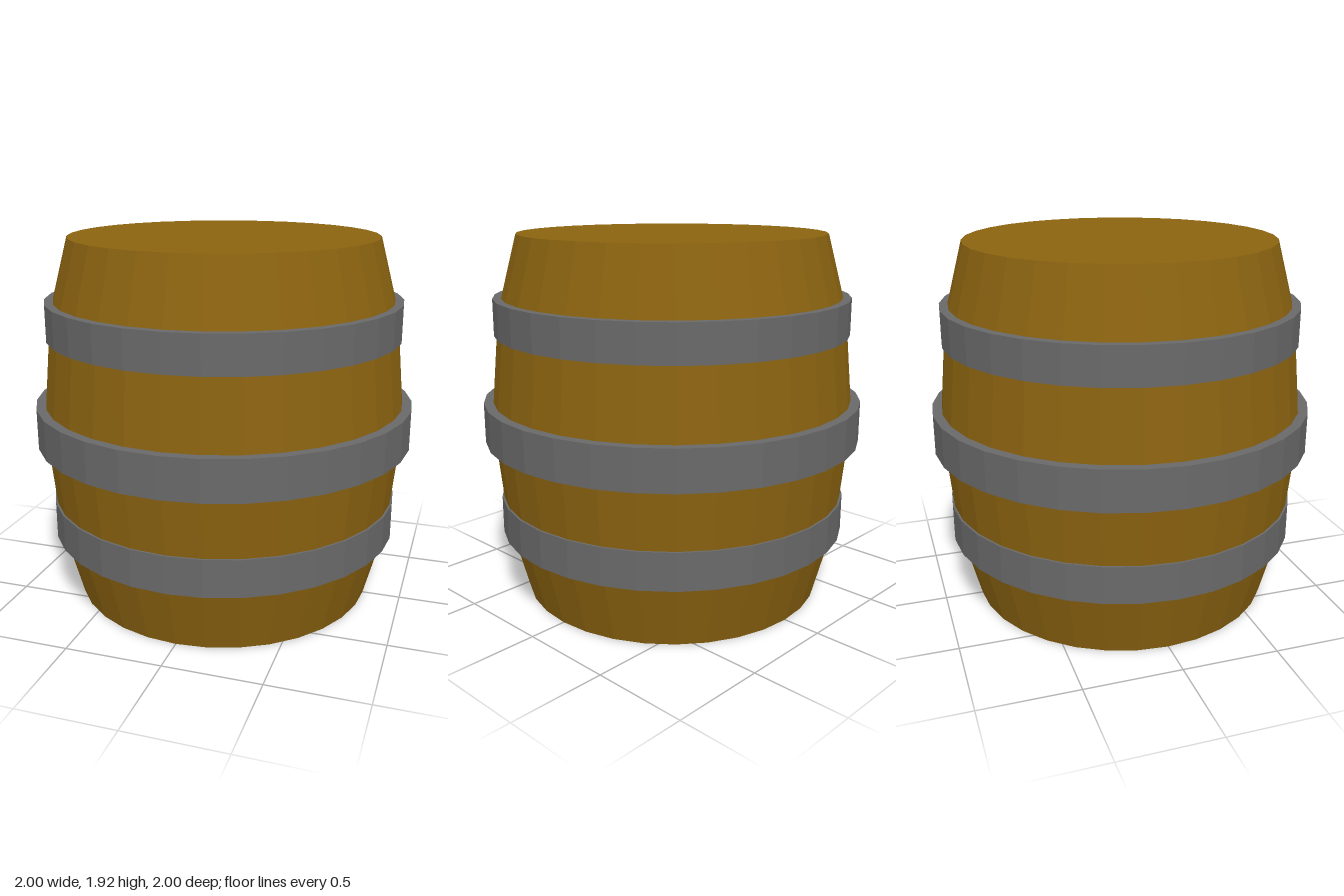
import * as THREE from 'three';

const SIDES = 32;

// Faceted solid of revolution from [radius, height] points, listed bottom to top on the outside
function turned(name, profile, color) {
  const points = profile.map(([r, y]) => new THREE.Vector2(r, y));
  const material = new THREE.MeshStandardMaterial({ color, flatShading: true });
  const mesh = new THREE.Mesh(new THREE.LatheGeometry(points, SIDES), material);
  mesh.name = name;
  return mesh;
}

// Flat metal band with a rectangular section, its inner face sunk into the wood
function hoop(name, bottom, top, inner, outer) {
  return turned(name, [
    [inner, bottom], [outer, bottom], [outer, top], [inner, top], [inner, bottom],
  ], 0x696969);
}

export function createModel() {
  const barrel = new THREE.Group();
  barrel.name = 'barrel';

  // Bulging wooden body with flat lids
  barrel.add(turned('woodenBody', [
    [0, 0], [0.8, 0], [0.905, 0.4], [0.96, 0.96], [0.905, 1.53], [0.8, 1.92], [0, 1.92],
  ], 0x8b6310));

  // Three hoops
  barrel.add(
    hoop('lowerHoop', 0.345, 0.54, 0.87, 0.93),
    hoop('middleHoop', 0.85, 1.06, 0.93, 1),
    hoop('upperHoop', 1.41, 1.6, 0.87, 0.93),
  );
  return barrel;
}
